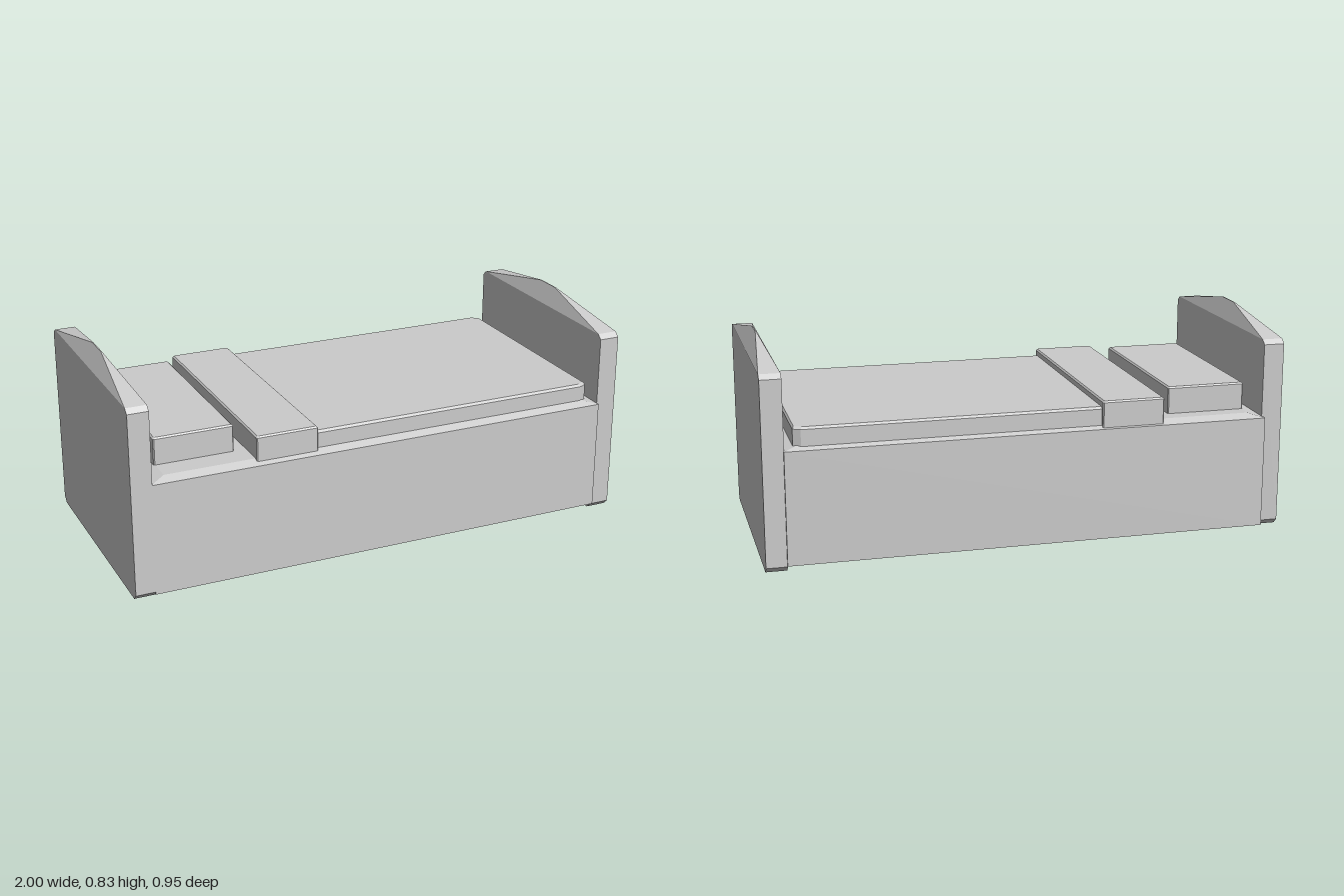
import * as THREE from 'three';
import { ConvexGeometry } from 'three/addons/geometries/ConvexGeometry.js';

const material = new THREE.MeshStandardMaterial({ color: 0xcccccc, flatShading: true });
const v = (x, y, z) => new THREE.Vector3(x, y, z);

function solid(name, points) {
  const mesh = new THREE.Mesh(new ConvexGeometry(points), material);
  mesh.name = name;
  return mesh;
}

// Block with corners cut in plan by (cutX, cutZ) and a bevelled top edge
function block(name, [x0, x1], [y0, y1], [z0, z1], { cutX = 0.004, cutZ = 0.004, inX = 0.006, inZ = 0.006, drop = 0.006 } = {}) {
  const points = [];
  for (const [y, dx, dz] of [[y0, 0, 0], [y1 - drop, 0, 0], [y1, inX, inZ]]) {
    for (const sx of [0, 1]) {
      for (const sz of [0, 1]) {
        const x = sx ? x1 - dx : x0 + dx;
        const z = sz ? z1 - dz : z0 + dz;
        points.push(v(x + (sx ? -cutX : cutX), y, z));
        if (cutX > 0) points.push(v(x, y, z + (sz ? -cutZ : cutZ)));
      }
    }
  }
  return solid(name, points);
}

// End panel: cut corners, with the gabled top pinched to a short ridge
function endPanel(name, x, y, z) {
  const points = [];
  for (const s of [-1, 1]) {
    for (const side of [-0.04, 0.04]) {
      for (const [pz, py] of [[0.442, 0], [0.465, 0.022], [0.465, 0.725], [0.445, 0.742]]) {
        points.push(v(side, py, s * pz));
      }
    }
    points.push(v(-0.002, 0.812, s * 0.055), v(0.002, 0.812, s * 0.055));
  }
  const mesh = solid(name, points);
  mesh.position.set(x, y, z);
  return mesh;
}

export function createModel() {
  const bed = new THREE.Group();
  bed.name = 'bed';
  bed.add(
    endPanel('headboard', -0.96, 0.016, 0.01),
    endPanel('footboard', 0.96, 0, -0.002),
    // Base with a shallow sloping rim
    block('base', [-0.925, 0.922], [0.027, 0.475], [-0.478, 0.474],
      { cutX: 0, cutZ: 0, inX: 0.06, inZ: 0.036, drop: 0.016 }),
    block('blanket', [-0.4, 0.885], [0.462, 0.54], [-0.456, 0.44],
      { cutX: 0.028, cutZ: 0.016, inX: 0.006, inZ: 0.01, drop: 0.008 }),
    block('foldedSheet', [-0.516, -0.274], [0.462, 0.565], [-0.47, 0.454]),
    block('pillow', [-0.87, -0.563], [0.465, 0.58], [-0.381, 0.345])
  );
  return bed;
}
